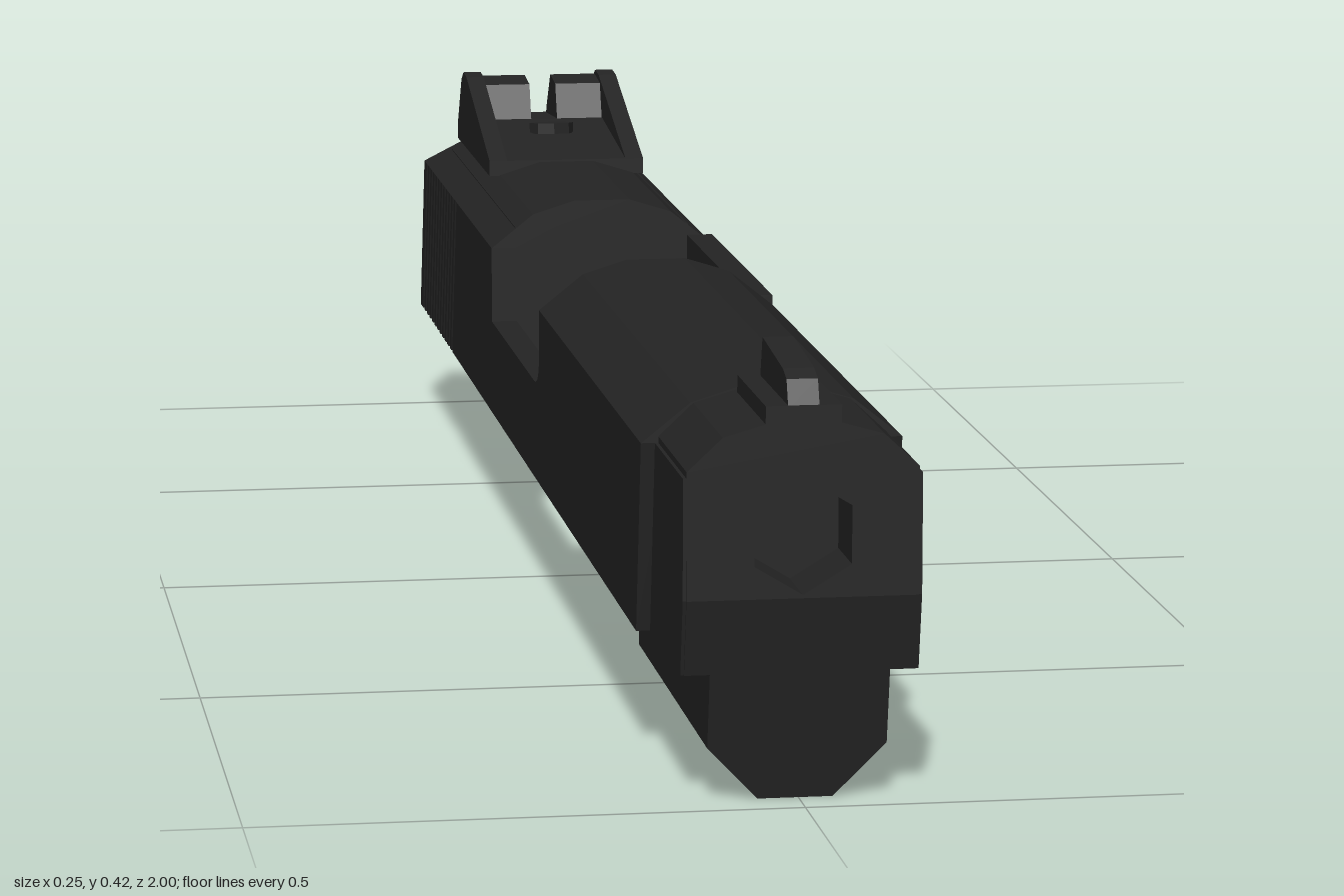
import * as THREE from 'three';

const steel = new THREE.MeshStandardMaterial({ color: 0x242424, flatShading: true });
steel.name = 'dark steel';

const toShape = (pts) => new THREE.Shape(pts.map(([a, b]) => new THREE.Vector2(a, b)));
const mirrorX = (half) => [...half, ...half.slice().reverse().map(([x, y]) => [-x, y])];

// Outline in (z, y), extruded from x0 to x1
function sideGeo(outline, x0, x1) {
  const shape = Array.isArray(outline) ? toShape(outline) : outline;
  const g = new THREE.ExtrudeGeometry(shape, { depth: x1 - x0, bevelEnabled: false, curveSegments: 6 });
  return g.rotateY(-Math.PI / 2).translate(x1, 0, 0);
}
// Outline in (x, y), extruded from z0 to z1
function lengthGeo(outline, z0, z1) {
  const shape = Array.isArray(outline) ? toShape(outline) : outline;
  return new THREE.ExtrudeGeometry(shape, { depth: z1 - z0, bevelEnabled: false }).translate(0, 0, z0);
}
// Move vertices lying on one end plane by a rule z = f(x, y)
function shapeEnd(g, zEnd, rule) {
  const p = g.attributes.position;
  for (let i = 0; i < p.count; i++) {
    if (Math.abs(p.getZ(i) - zEnd) < 1e-4) p.setZ(i, rule(p.getX(i), p.getY(i)));
  }
  g.computeVertexNormals();
  return g;
}
const hexagon = (r, cx, cy, sx = 1) => Array.from({ length: 6 }, (_, i) => {
  const a = Math.PI / 2 + i * Math.PI / 3;
  return [cx + Math.cos(a) * r * sx, cy + Math.sin(a) * r];
});

export function createModel() {
  const root = new THREE.Group();
  const body = new THREE.Group();
  body.name = 'slide';
  body.position.x = -0.003;
  root.add(body);
  const add = (name, geo) => {
    const m = new THREE.Mesh(geo, steel);
    m.name = name;
    body.add(m);
    return m;
  };
  const box = (name, x0, x1, y0, y1, z0, z1) => add(name,
    new THREE.BoxGeometry(x1 - x0, y1 - y0, z1 - z0)
      .translate((x0 + x1) / 2, (y0 + y1) / 2, (z0 + z1) / 2));

  // Side walls: right one has bottom notches, left one the deep port cut
  const right = toShape([[0.80, 0.12], [0.83, 0.30], [0.11, 0.30], [0.11, 0.31], [-0.29, 0.31],
    [-0.29, 0.30], [-0.62, 0.30], [-0.67, 0.12], [-0.07, 0.12], [-0.06, 0.135], [0.05, 0.135],
    [0.06, 0.12], [0.48, 0.12], [0.50, 0.137], [0.53, 0.143], [0.56, 0.137], [0.58, 0.12]]);
  add('rightWall', sideGeo(right, 0.093, 0.12));
  const left = new THREE.Shape();
  left.moveTo(0.80, 0.12);
  left.lineTo(0.83, 0.30);
  left.lineTo(0.11, 0.30);
  left.lineTo(0.11, 0.26);
  left.quadraticCurveTo(0.11, 0.22, 0.07, 0.22);
  left.lineTo(-0.29, 0.22);
  left.lineTo(-0.29, 0.30);
  left.lineTo(-0.62, 0.30);
  left.lineTo(-0.67, 0.12);
  add('leftWall', sideGeo(left, -0.12, -0.093));

  // Roof in front of and behind the port
  const roof = mirrorX([[0.12, 0.30], [0.075, 0.336], [0.03, 0.35]])
    .concat([[-0.093, 0.30], [-0.05, 0.322], [0.05, 0.322], [0.093, 0.30]]);
  add('frontRoof', lengthGeo(roof, 0.11, 0.83));
  add('rearRoof', shapeEnd(lengthGeo(roof, -0.95, -0.29), -0.95,
    (x, y) => Math.max(-0.95 + (y - 0.30) * 1.8, Math.abs(x) < 0.06 ? -0.93 : -1)));

  // Rear walls, inner blocks and slanted grip ridges
  for (const s of [-1, 1]) {
    const span = (a, b) => (s > 0 ? [a, b] : [-b, -a]);
    const name = s > 0 ? 'right' : 'left';
    add(name + 'RearWall', sideGeo(
      [[-0.62, 0.30], [-0.95, 0.30], [-1.0, 0.12], [-0.67, 0.12]], ...span(0.08, 0.113)));
    add(name + 'RearBlock', sideGeo(
      [[-0.29, 0.322], [-0.89, 0.322], [-0.945, 0.30], [-0.98, 0.18], [-0.29, 0.18]], ...span(0.042, 0.094)));
    for (let i = 0; i < 12; i++) {
      const z = -0.632 - i * 0.0265;
      const w = i === 11 ? 0.0265 : 0.014;
      add(name + 'GripRidge', sideGeo(
        [[z, 0.30], [z - w, 0.30], [z - w - 0.05, 0.12], [z - 0.05, 0.12]], ...span(0.112, 0.12)));
    }
    box(name + 'Rail', ...span(0.075, 0.094), 0.135, 0.155, -0.95, -0.29);
  }
  box('breechBlock', -0.045, 0.045, 0.17, 0.323, -0.92, -0.29);

  // Muzzle: upper part with six-sided bore, lower part slanting back
  const muzzle = toShape(mirrorX([[0.104, 0.19], [0.104, 0.306], [0.072, 0.336], [0.03, 0.348]]));
  muzzle.holes.push(new THREE.Path(hexagon(0.053, 0, 0.246, 0.95).map(([x, y]) => new THREE.Vector2(x, y))));
  add('muzzle', lengthGeo(muzzle, 0.78, 1.0));
  const slant = (x, y) => 1 - (0.19 - y) * 0.2;
  const jaw = mirrorX([[0.104, 0.12], [0.104, 0.19]]);
  add('muzzleLower', shapeEnd(lengthGeo(jaw, 0.78, 1.0), 1.0, slant));
  box('borePlug', -0.092, 0.092, 0.125, 0.32, 0.6, 0.93).scale.x = 0.8;
  // Step at the muzzle flanks
  for (const s of [-1, 1]) {
    add('muzzleCheek', sideGeo([[0.80, 0.12], [0.984, 0.12], [0.998, 0.19], [0.998, 0.30], [0.83, 0.30]],
      s > 0 ? 0.10 : -0.119, s > 0 ? 0.119 : -0.10)).scale.x = 0.9;
  }

  // Underside block with chamfered keel
  const keel = mirrorX([[0.034, 0], [0.081, 0.05], [0.081, 0.125]]);
  add('underBlock', shapeEnd(lengthGeo(keel, 0.55, 1.0), 1.0, slant));

  // Front sight: broad foot and narrow blade
  add('frontSightFoot', sideGeo([[0.84, 0.34], [0.845, 0.363], [1.0, 0.363], [1.0, 0.34]], -0.034, 0.034));
  add('frontSightBlade', sideGeo(
    [[0.845, 0.35], [0.86, 0.40], [0.97, 0.391], [0.99, 0.385], [1.0, 0.36], [1.0, 0.35]], -0.014, 0.014));

  // Rear sight: side plates, sunken ramp, notched rear block and screw
  const plate = [[-0.58, 0.335], [-0.58, 0.352], [-0.80, 0.418], [-0.83, 0.42], [-0.85, 0.41],
    [-0.89, 0.352], [-0.89, 0.335]];
  add('rearSightPlate', sideGeo(plate, 0.067, 0.087));
  add('rearSightPlate', sideGeo(plate, -0.087, -0.067));
  add('rearSightRamp', sideGeo([[-0.58, 0.335], [-0.58, 0.352], [-0.77, 0.372], [-0.88, 0.365],
    [-0.88, 0.335]], -0.068, 0.068));
  for (const s of [-1, 1]) {
    const x0 = s > 0 ? 0.015 : -0.068;
    add('rearSightLeaf', sideGeo([[-0.77, 0.36], [-0.79, 0.41], [-0.835, 0.415], [-0.87, 0.372],
      [-0.875, 0.36]], x0, x0 + 0.053));
  }
  add('rearSightScrew', new THREE.CylinderGeometry(0.025, 0.025, 0.012, 8)
    .rotateX(-0.1).translate(0, 0.37, -0.71));

  // Six-sided pin on the right flank
  add('sidePin', sideGeo(hexagon(0.05, -0.55, 0.24, 0.95), 0.11, 0.126));

  return root;
}
